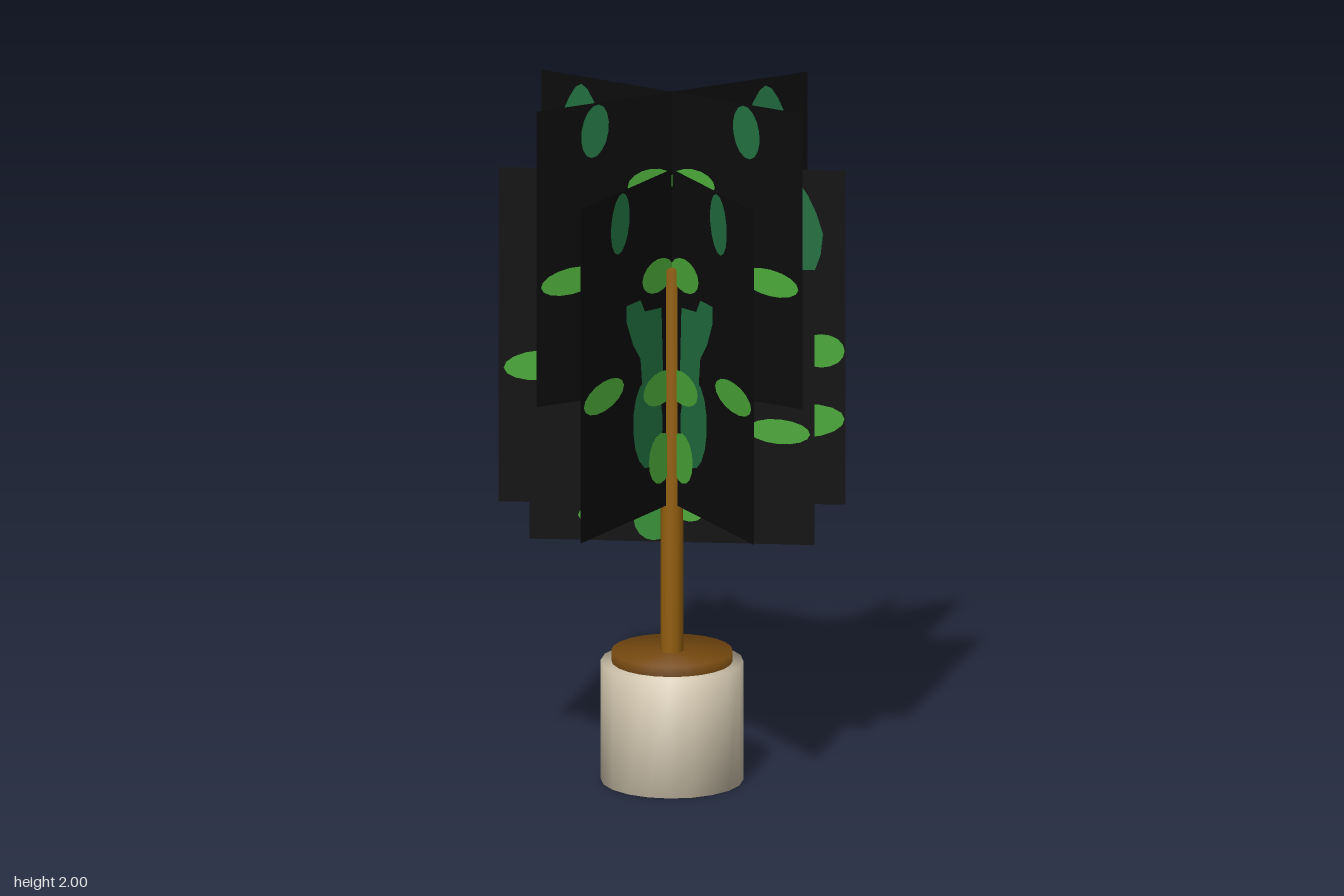
import * as THREE from 'three';
import { mergeGeometries, mergeVertices } from 'three/addons/utils/BufferGeometryUtils.js';

const mat = (name, color, side = THREE.FrontSide) => {
  const m = new THREE.MeshStandardMaterial({ color, side });
  m.name = name;
  return m;
};

// Leaves on one card, in card units (x -1..1, y 0..2): colour, x, y, half width, half height, tilt, pear-shaped
const LEAVES = [
  ['dark', -0.57, 1.81, 0.1, 0.18, -0.15],
  ['light', -0.75, 0.82, 0.22, 0.09, 0.08],
  ['dark', -0.27, 0.54, 0.16, 0.27, 0.1],
  ['light', -0.16, 1.4, 0.17, 0.1, 0],
  ['light', -0.13, 0.72, 0.19, 0.1, 0],
  ['light', -0.13, 0.3, 0.13, 0.15, 0],
  ['dark', 0.69, 1.62, 0.18, 0.33, 0, true],
  ['mid', 0.32, 1.36, 0.2, 0.17, 0.2],
  ['light', 0.42, 1.04, 0.17, 0.1, 0.1],
  ['light', 0.86, 0.92, 0.135, 0.1, 0],
  ['light', 0.77, 0.5, 0.225, 0.1, 0.06],
  ['dark', 0.28, 0.46, 0.19, 0.22, 0],
  ['light', 0.47, 0.2, 0.19, 0.08, -0.1],
  ['mid', 0.13, 0.17, 0.14, 0.16, 0],
  ['mid', 0.38, 0.66, 0.13, 0.09, 0.3],
  ['dark', 0.12, 0.97, 0.1, 0.17, 0],
];

// Split dark leaf beside the trunk
const FORKED = [[-0.1, 0.75], [-0.33, 0.78], [-0.35, 0.95], [-0.43, 1.05], [-0.5, 1.2],
  [-0.5, 1.3], [-0.35, 1.3], [-0.3, 1.22], [-0.12, 1.2]];

function leafPoints([, x, y, rx, ry, tilt, pear]) {
  const pts = [];
  for (let i = 0; i < 16; i++) {
    const a = (i / 16) * Math.PI * 2;
    const c = Math.cos(a), s = Math.sin(a);
    const w = pear ? 1 - 0.4 * Math.max(0, s) : 1;
    const px = rx * c * w, py = ry * s;
    pts.push(new THREE.Vector2(
      THREE.MathUtils.clamp(x + px * Math.cos(tilt) - py * Math.sin(tilt), -1, 1),
      THREE.MathUtils.clamp(y + px * Math.sin(tilt) + py * Math.cos(tilt), 0, 2)));
  }
  return pts;
}

// Merged leaf faces of one colour, laid on both sides of the card
function leafGeometry(color) {
  const outlines = LEAVES.map((l, i) => ({ color: l[0], pts: leafPoints(l), lift: 0.003 + i * 0.0003 }));
  outlines.push({ color: 'dark', pts: FORKED.map(p => new THREE.Vector2(...p)), lift: 0.003 });
  const parts = [];
  for (const o of outlines.filter(q => q.color === color)) {
    const shape = new THREE.Shape(o.pts);
    for (const side of [1, -1]) {
      parts.push(new THREE.ShapeGeometry(shape).translate(0, 0, o.lift * side));
    }
  }
  return mergeGeometries(parts);
}

// Cylinder whose shading rolls softly over the rims
function softCylinder(radius, height, sides, y) {
  const g = new THREE.CylinderGeometry(radius, radius, height, sides);
  g.deleteAttribute('normal');
  g.deleteAttribute('uv');
  const m = mergeVertices(g, 1e-4);
  m.computeVertexNormals();
  return m.translate(0, y + height / 2, 0);
}

export function createModel() {
  const model = new THREE.Group();
  model.name = 'pottedTree';
  const add = (parent, name, geometry, material) => {
    const mesh = new THREE.Mesh(geometry, material);
    mesh.name = name;
    parent.add(mesh);
    return mesh;
  };

  // Pot, soil and trunk
  add(model, 'pot', softCylinder(0.2, 0.345, 20, 0), mat('cream pot', 0xd8ccb4));
  add(model, 'soil', softCylinder(0.17, 0.075, 24, 0.3), mat('brown soil', 0x74480f));
  add(model, 'trunk', softCylinder(0.032, 1.13, 12, 0.36), mat('tan bark', 0x94600f));

  // Foliage cards: half size, bottom height, turn in degrees
  const backing = mat('black backing', 0x0b0b0b, THREE.DoubleSide);
  const greens = {
    dark: mat('dark green', 0x217040, THREE.DoubleSide),
    mid: mat('mid green', 0x368f36, THREE.DoubleSide),
    light: mat('light green', 0x4caa3a, THREE.DoubleSide),
  };
  const cardGeometry = new THREE.PlaneGeometry(2, 2).translate(0, 1, 0);
  const leaves = Object.keys(greens).map(c => [c, leafGeometry(c)]);
  const cards = [
    [0.43, 1.14, 30], [0.43, 1.14, 150],
    [0.486, 0.803, 0], [0.486, 0.803, 60], [0.486, 0.803, 120],
    [0.4, 0.69, 177],
  ];
  for (const [half, bottom, turn] of cards) {
    const card = new THREE.Group();
    card.name = 'foliageCard';
    add(card, 'cardBacking', cardGeometry, backing);
    for (const [c, g] of leaves) add(card, c + 'Leaves', g, greens[c]);
    card.scale.setScalar(half);
    card.position.y = bottom;
    card.rotation.y = THREE.MathUtils.degToRad(turn);
    model.add(card);
  }
  return model;
}
